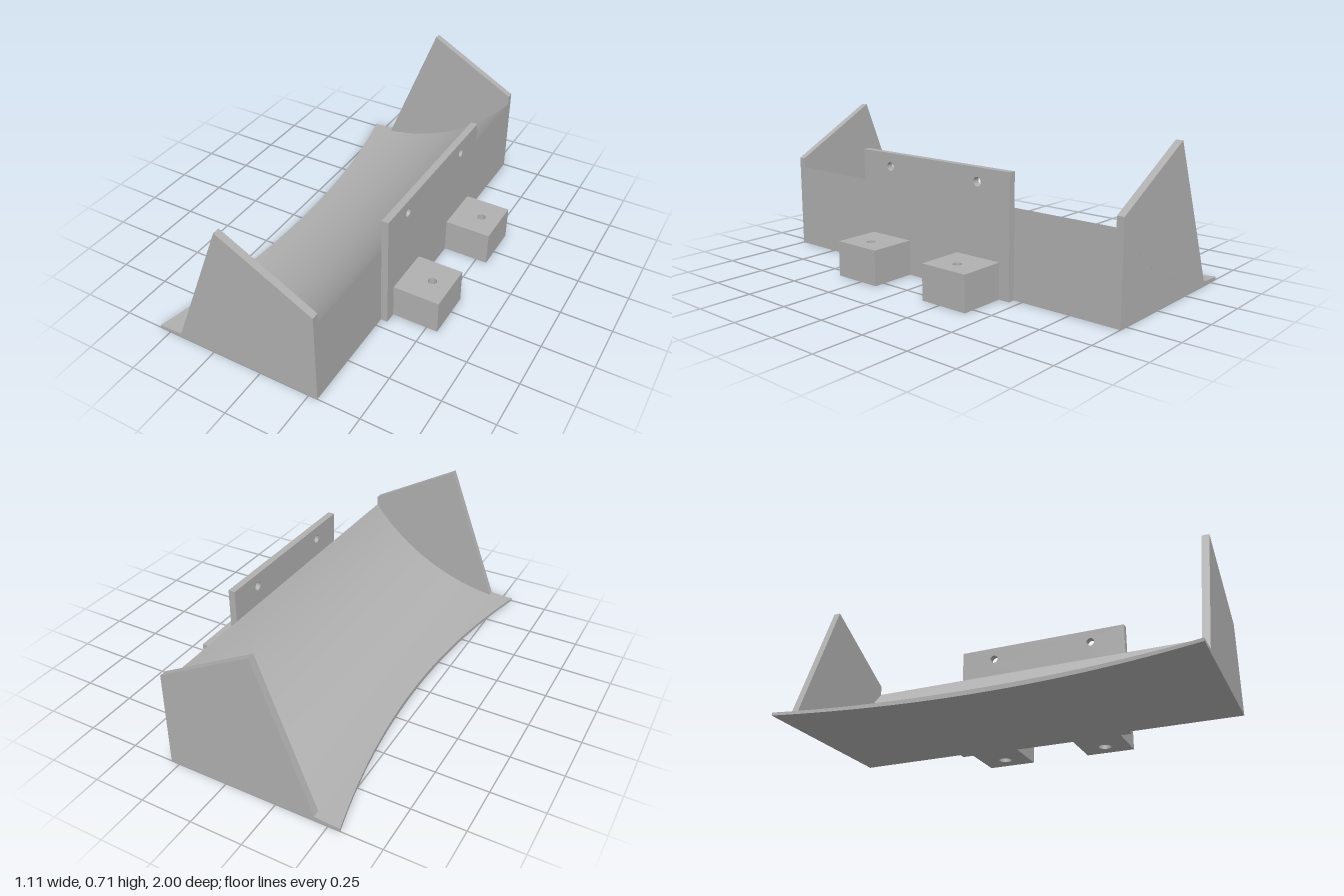
import * as THREE from 'three';
import { mergeGeometries } from 'three/addons/utils/BufferGeometryUtils.js';

const BACK = 0.293;
const R = 1.094;   // radius of the curved blade face
const RF = 4.0;    // radius of the bowed front lip
const bladeY = (x) => 0.015 + R - Math.sqrt(R * R - (x + 0.557) ** 2);
const lipX = (z) => -0.43 - (RF - Math.sqrt(RF * RF - z * z));
const mix = THREE.MathUtils.lerp;

// Bend a grid by a rule; the face points along u x v
function panel(nu, nv, rule) {
  const g = new THREE.PlaneGeometry(1, 1, nu, nv);
  const { position, uv } = g.attributes;
  for (let i = 0; i < position.count; i++) position.setXYZ(i, ...rule(uv.getX(i), uv.getY(i)));
  g.computeVertexNormals();
  return g;
}

// Solid wedge with a concave top and bowed front edge
function bladeGeometry() {
  const across = (z, t) => mix(lipX(z), BACK, t);
  const zAt = (t) => mix(-1, 1, t);
  return mergeGeometries([
    panel(40, 32, (u, v) => { const x = across(zAt(u), v); return [x, bladeY(x), zAt(u)]; }),
    panel(1, 40, (u, v) => [across(zAt(v), u), 0, zAt(v)]),
    panel(40, 1, (u, v) => { const x = lipX(zAt(u)); return [x, v * bladeY(x), zAt(u)]; }),
    panel(1, 1, (u, v) => [BACK, u * bladeY(BACK), zAt(v)]),
    panel(32, 1, (u, v) => { const x = across(1, u); return [x, v * bladeY(x), 1]; }),
    panel(1, 32, (u, v) => { const x = across(-1, v); return [x, u * bladeY(x), -1]; }),
  ]);
}

// Rectangle outline with round holes given as [x, y, radius]
function drilledRect(x0, x1, y0, y1, holes) {
  const s = new THREE.Shape([[x0, y0], [x1, y0], [x1, y1], [x0, y1]].map((p) => new THREE.Vector2(...p)));
  for (const [x, y, r] of holes) s.holes.push(new THREE.Path().absarc(x, y, r, 0, Math.PI * 2, true));
  return s;
}

const extrude = (shape, depth) =>
  new THREE.ExtrudeGeometry(shape, { depth, bevelEnabled: false, curveSegments: 24 });

export function createModel() {
  const group = new THREE.Group();
  const grey = new THREE.MeshStandardMaterial({ color: 0xb0b0b0 });
  grey.name = 'grey';
  const add = (name, geometry) => {
    const mesh = new THREE.Mesh(geometry, grey);
    mesh.name = name;
    group.add(mesh);
    return mesh;
  };

  add('blade', bladeGeometry());

  // End walls rising from the blade surface
  const wall = new THREE.Shape();
  wall.moveTo(-0.435, bladeY(-0.435));
  for (let i = 1; i <= 24; i++) {
    const x = mix(-0.435, BACK, i / 24);
    wall.lineTo(x, bladeY(x));
  }
  wall.lineTo(BACK, 0.468);
  wall.lineTo(-0.16, 0.715);
  wall.closePath();
  add('leftEndWall', extrude(wall, 0.035)).position.z = 0.965;
  add('rightEndWall', extrude(wall, 0.035)).position.z = -1;

  // Mounting plate with two bolt holes
  const plate = extrude(drilledRect(-0.455, 0.455, 0, 0.58, [[-0.272, 0.515, 0.021], [0.272, 0.515, 0.021]]), 0.034);
  plate.rotateY(Math.PI / 2).translate(BACK, 0, 0);
  add('mountingPlate', plate);

  // Lugs with a vertical hole that widens in the lower half
  for (const side of [-1, 1]) {
    const layer = (radius, y, height) =>
      extrude(drilledRect(0.327, 0.555, -0.124, 0.124, [[0.462, 0, radius]]), height)
        .rotateX(-Math.PI / 2).translate(0, y, side * 0.275);
    const lug = mergeGeometries([layer(0.032, 0, 0.085), layer(0.021, 0.085, 0.086)]);
    add(side > 0 ? 'frontLug' : 'rearLug', lug);
  }
  return group;
}
